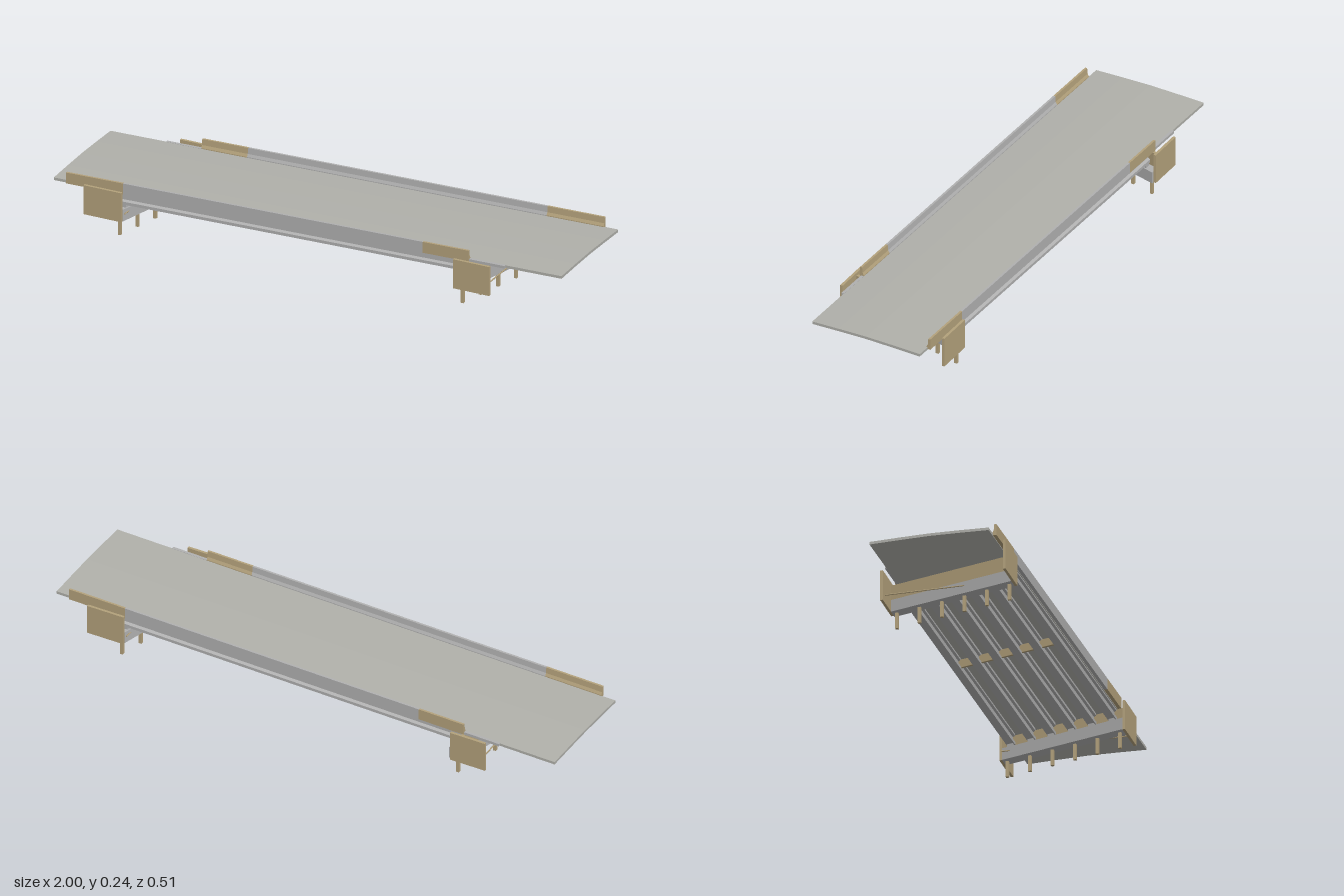
import * as THREE from 'three';

const SKEW = -0.27, SLOPE = 0.0235, CROWN = 0.192;

export function createModel() {
  const model = new THREE.Group();
  const mat = (name, color) => {
    const m = new THREE.MeshStandardMaterial({ color });
    m.name = name;
    return m;
  };
  const concrete = mat('concrete grey', 0xb0b0b0);
  const paving = mat('paving grey', 0xb0b0aa);
  const tan = mat('tan timber', 0xb3a17b);

  const add = (name, geo, material) => {
    const mesh = new THREE.Mesh(geo, material);
    mesh.name = name;
    model.add(mesh);
  };
  // Moves every vertex along the skew of the supports and/or the road gradient.
  const bend = (geo, skew, graded) => {
    const g = geo.index ? geo.toNonIndexed() : geo;
    const p = g.attributes.position;
    for (let i = 0; i < p.count; i++) {
      const x = p.getX(i) + (skew ? SKEW * p.getZ(i) : 0);
      p.setX(i, x);
      if (graded) p.setY(i, p.getY(i) + CROWN + SLOPE * x);
    }
    g.computeVertexNormals();
    return g;
  };
  // Sweeps a [z, y] profile from x0 to x1; y is relative to the road crown.
  const sweep = (name, profile, x0, x1, material, skew = false) => {
    const shape = new THREE.Shape(profile.map(([z, y]) => new THREE.Vector2(-z, y)));
    const geo = new THREE.ExtrudeGeometry(shape, { depth: x1 - x0, bevelEnabled: false });
    geo.rotateY(Math.PI / 2).translate(x0, 0, 0);
    add(name, bend(geo, skew, true), material);
  };
  const box = (name, [x0, x1], [y0, y1], [z0, z1], material, skew = false, graded = false) => {
    const geo = new THREE.BoxGeometry(x1 - x0, y1 - y0, z1 - z0);
    geo.translate((x0 + x1) / 2, (y0 + y1) / 2, (z0 + z1) / 2);
    add(name, bend(geo, skew, graded), material);
  };

  // Cambered road slab
  const top = [[-0.218, -0.005], [-0.11, -0.002], [0, 0], [0.11, -0.002], [0.216, -0.005]];
  const under = top.map(([z, y]) => [z, y - 0.01]).reverse();
  sweep('deck', [...top, ...under], -1, 1, paving);

  // Barriers: the back one is the front one turned half round
  for (const s of [1, -1]) {
    const side = s > 0 ? 'front' : 'back';
    const profile = [[0.229, -0.012], [0.229, 0.03], [0.221, 0.03], [0.219, 0.008], [0.214, -0.002], [0.214, -0.012]]
      .map(([z, y]) => [z * s, y]);
    const run = (name, a, b, material) =>
      sweep(side + name, profile, Math.min(a * s, b * s), Math.max(a * s, b * s), material);
    run('BarrierLongEnd', -0.945, -0.72, tan);
    run('Barrier', -0.72, 0.46, concrete);
    run('BarrierShortEnd', 0.46, 0.64, tan);
    const kerb = [[0.214, -0.014], [0.214, -0.004], [0.225, -0.004], [0.225, -0.014]].map(([z, y]) => [z * s, y]);
    sweep(side + 'Kerb', kerb, s > 0 ? 0.64 : -0.78, s > 0 ? 0.78 : -0.64, concrete);
  }

  // Six I-shaped girders with skewed ends
  const half = [[0.015, -0.058], [0.015, -0.047], [0.005, -0.042], [0.005, -0.025], [0.013, -0.021], [0.013, -0.011]];
  const girder = [...half, ...half.map(([z, y]) => [-z, y]).reverse()];
  const girderZ = [-0.2, -0.12, -0.04, 0.04, 0.12, 0.2];
  for (const z of girderZ)
    sweep('girder', girder.map(([a, y]) => [a + z, y]), -0.685, 0.685, concrete, true);

  // Midspan cross braces between the girders
  for (let i = 0; i < 5; i++)
    box('crossBrace', [-0.005, 0.005], [-0.05, -0.02], [girderZ[i] + 0.005, girderZ[i + 1] - 0.005], tan, true, true);

  // Abutments: s is the end, base the cap underside
  const abutment = (s, base, zBack, zFront, pileShift, frontWing, backWing) => {
    const end = s > 0 ? 'left' : 'right';
    const span = (a, b) => (s > 0 ? [a, b] : [-b, -a]);
    box(end + 'Cap', span(0.657, 0.703), [base, base + 0.045], [zBack, zFront], concrete, true);
    box(end + 'Backwall', span(0.691, 0.703), [base + 0.045, base + 0.1], [zBack, zFront], tan, true);
    for (const z of girderZ)
      box(end + 'Bearing', span(0.662, 0.685), [base + 0.045, CROWN - 0.056 + SLOPE * (s * 0.675 + SKEW * z)],
        [z - 0.011, z + 0.011], concrete, true);
    for (let i = 0; i < 6; i++) {
      const z = -0.2225 + 0.089 * i + pileShift;
      const x = s * 0.68 + SKEW * z;
      box(end + 'Pile', [x - 0.0055, x + 0.0055], [base - 0.06, base + 0.01], [z - 0.0055, z + 0.0055], tan);
    }
    box(end + 'FrontWing', frontWing, [base, base + 0.112], [zFront, zFront + 0.01], tan);
    box(end + 'BackWing', backWing, [base, base + 0.114], [zBack - 0.01, zBack], tan);
    // Tie rod between the wing walls
    const rod = new THREE.CylinderGeometry(0.0025, 0.0025, zFront - zBack, 8);
    rod.rotateX(Math.PI / 2).translate(s * 0.713, base + 0.03, (zFront + zBack) / 2);
    add(end + 'TieRod', rod, tan);
  };
  abutment(1, 0.093, -0.23, 0.245, 0.007, [0.592, 0.735], [0.72, 0.865]);
  abutment(-1, 0.06, -0.244, 0.231, -0.005, [-0.87, -0.722], [-0.74, -0.6]);

  return model;
}
